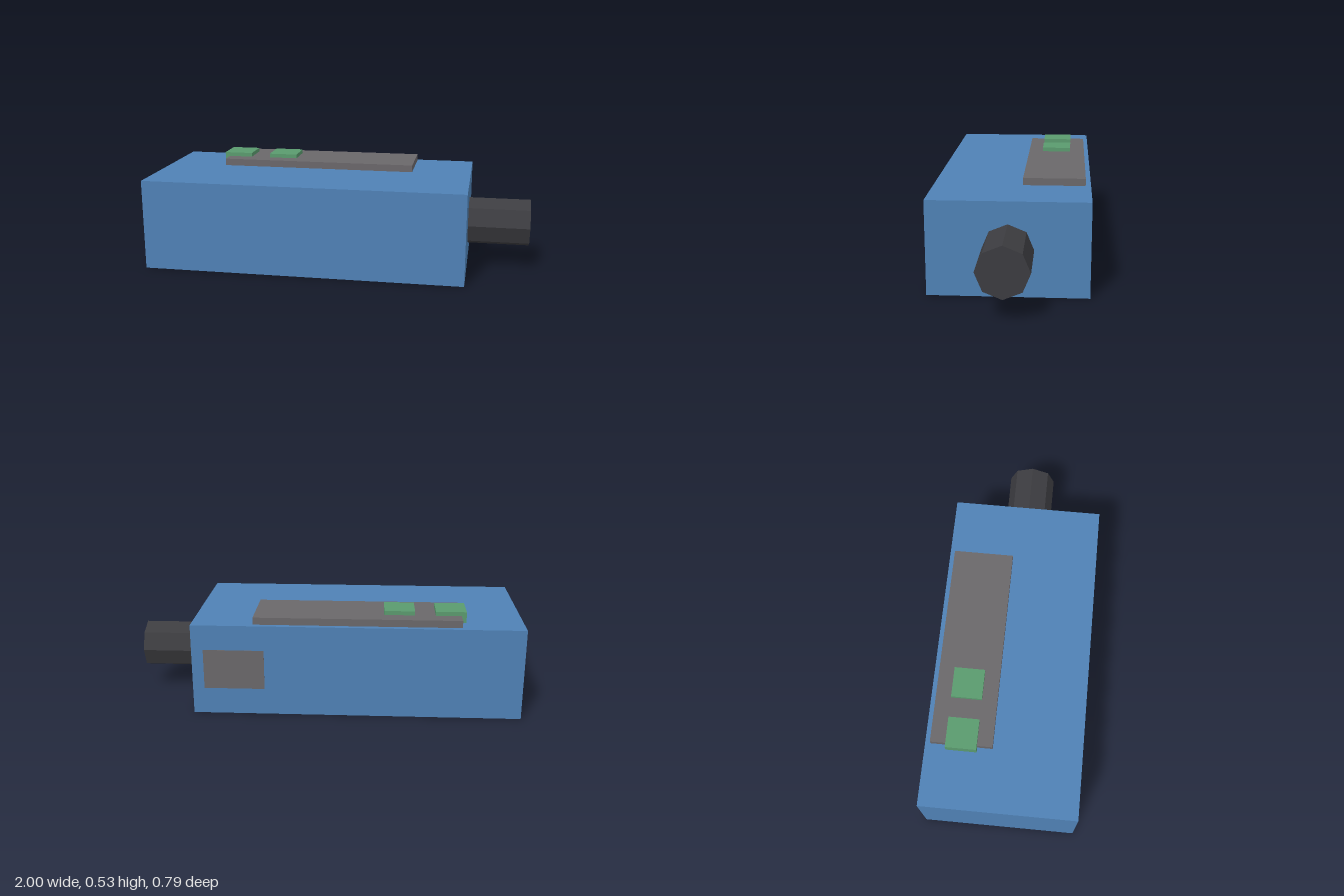
import * as THREE from 'three';

const material = (name, color) => {
  const m = new THREE.MeshStandardMaterial({ color });
  m.name = name;
  return m;
};

// Box given by its lower and upper corners
function block(name, mat, [x0, y0, z0], [x1, y1, z1]) {
  const mesh = new THREE.Mesh(new THREE.BoxGeometry(x1 - x0, y1 - y0, z1 - z0), mat);
  mesh.position.set((x0 + x1) / 2, (y0 + y1) / 2, (z0 + z1) / 2);
  mesh.name = name;
  return mesh;
}

export function createModel() {
  const blue = material('blue casing', 0x4f81b5);
  const grey = material('grey panel', 0x6a676a);
  const green = material('green button', 0x5a9a6e);
  const black = material('dark knob', 0x3c3c40);
  black.flatShading = true;

  const group = new THREE.Group();
  group.name = 'device';

  // Casing with a raised panel on top
  group.add(block('casing', blue, [-1, 0, -0.395], [0.68, 0.475, 0.395]));
  group.add(block('topPanel', grey, [-0.685, 0.475, -0.368], [0.365, 0.512, -0.055]));

  // Two square buttons; the outer one overhangs the panel edge
  for (const [name, x] of [['outerButton', -0.71], ['innerButton', -0.45]]) {
    group.add(block(name, green, [x, 0.475, -0.289], [x + 0.155, 0.533, -0.133]));
  }

  // Flush plate on the back
  group.add(block('backPlate', grey, [0.31, 0.138, -0.397], [0.62, 0.345, -0.39]));

  // Eight-sided knob on the left end, a corner pointing up
  const knob = new THREE.Mesh(new THREE.CylinderGeometry(0.126, 0.126, 0.32, 8), black);
  knob.rotation.z = -Math.PI / 2;
  knob.position.set(0.84, 0.238, 0);
  knob.name = 'knob';
  group.add(knob);

  return group;
}
